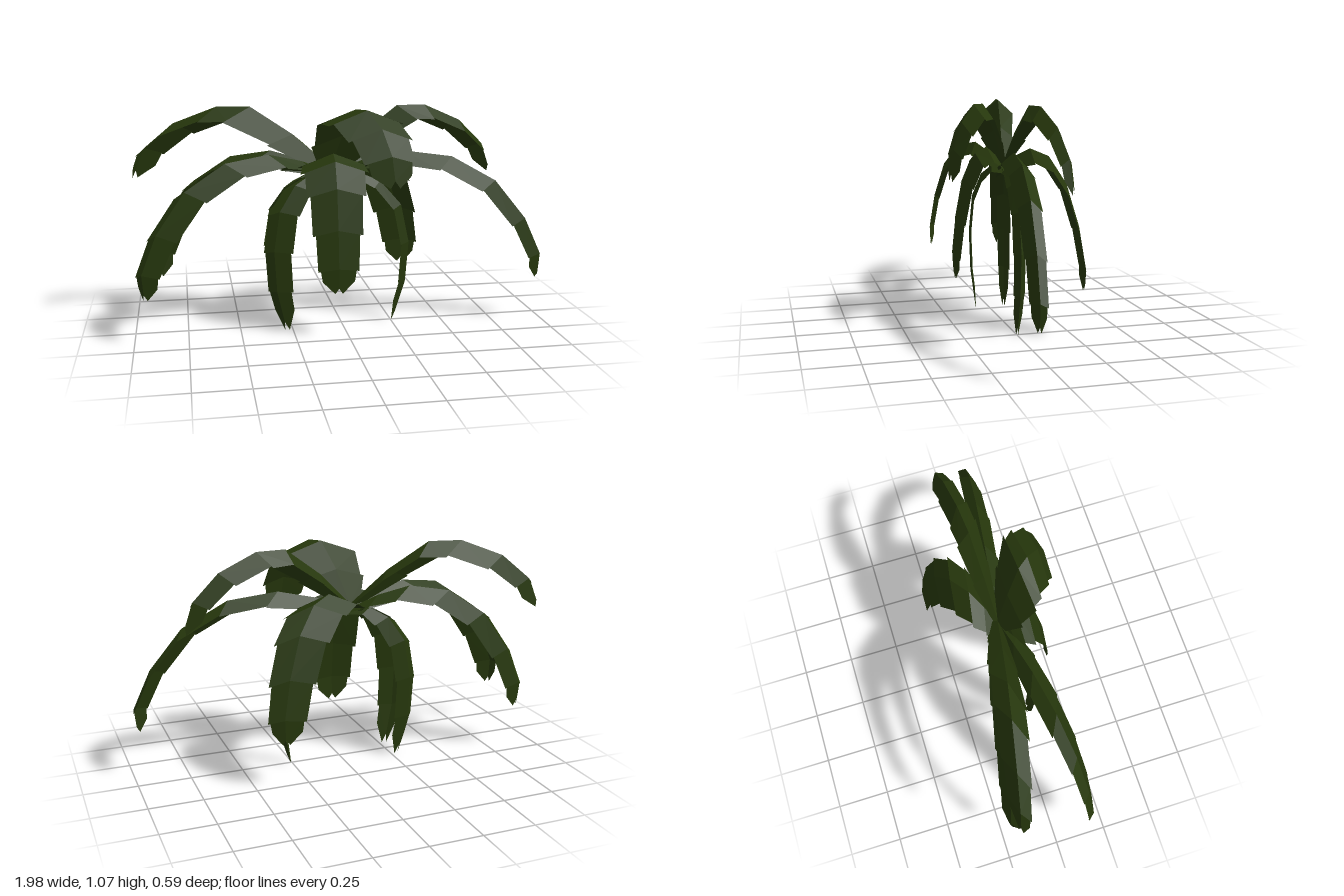
import * as THREE from 'three';

const DEPTH = 0.31;                                    // the crown is flattened front to back
const BASE = new THREE.Vector3(-0.05, 0, -0.015);
const UP = new THREE.Vector3(0, 1, 0);

// Each tier: arch of the ridge as [share of reach, height], half widths at the joints, and tips [x, z]
const TIERS = [
  {
    name: 'upperFrond',
    arch: [[0, 0.78], [0.19, 0.94], [0.4, 1.07], [0.57, 1.07], [0.79, 0.99], [0.94, 0.87], [1, 0.73]],
    widths: [0.06, 0.155, 0.185, 0.17, 0.145, 0.115],
    tips: [[-0.985, -0.2], [0.775, -0.09], [0.2, 0.3]],
  },
  {
    name: 'middleFrond',
    arch: [[0, 0.76], [0.16, 0.82], [0.34, 0.86], [0.57, 0.83], [0.78, 0.71], [0.93, 0.52], [1.01, 0.34], [1, 0.22]],
    widths: [0.06, 0.13, 0.155, 0.15, 0.13, 0.11, 0.09],
    tips: [[0.97, 0.115], [-0.05, 0.23], [-0.945, 0.178], [-0.88, -0.208], [0.37, -0.288]],
  },
  {
    name: 'lowerFrond',
    arch: [[0, 0.74], [0.4, 0.76], [0.78, 0.71], [1.12, 0.59], [1.25, 0.4], [1.2, 0.2], [1, 0]],
    widths: [0.03, 0.07, 0.09, 0.09, 0.082, 0.07],
    tips: [[0.26, 0], [-0.28, 0.07], [-0.28, -0.08]],
  },
];

// A folded leaf: a ridge with two sloping rows of panels, stepped along the rim and notched at the tip
function frondGeometry({ arch, widths }, [tipX, tipZ]) {
  const out = new THREE.Vector3(tipX - BASE.x, 0, (tipZ - BASE.z) / DEPTH);
  const reach = out.length();
  out.normalize();
  const side = out.clone().cross(UP);
  const ridge = arch.map(([u, y]) => out.clone().multiplyScalar(u * reach).setY(y));
  const normals = ridge.map((p, i) => {
    const along = ridge[Math.min(i + 1, ridge.length - 1)].clone().sub(ridge[Math.max(i - 1, 0)]);
    return side.clone().cross(along).normalize();
  });
  const positions = [];
  const face = (s, ...corners) => {
    if (s < 0) corners.reverse();
    for (let k = 1; k < corners.length - 1; k++) {
      for (const p of [corners[0], corners[k], corners[k + 1]]) {
        positions.push(BASE.x + p.x, p.y, BASE.z + p.z * DEPTH);
      }
    }
  };
  // point on panel i: t along the ridge, w sideways, sloping down towards the rim
  const at = (i, t, s, w) => {
    const p = ridge[i].clone().lerp(ridge[i + 1], t);
    const n = normals[i].clone().lerp(normals[i + 1], t);
    return p.addScaledVector(side, s * w).addScaledVector(n, -0.38 * w);
  };
  const last = widths.length - 1;
  for (const s of [1, -1]) {
    for (let i = 0; i < last; i++) {
      // rim flares towards the tip, overlapping the next panel a little
      face(s, at(i, 0, s, 0), at(i, 0, s, widths[i] * 0.95),
        at(i, 1.04, s, widths[i + 1] * 1.08), at(i, 1, s, 0));
    }
    // pointed half of the split tip, which meets its twin almost at the end
    const w = widths[last];
    face(s, at(last, 0, s, 0), at(last, 0, s, w * 0.95), at(last, 0.5, s, w * 0.85),
      at(last, 1, s, w * 0.2), at(last, 0.78, s, 0));
  }
  const geometry = new THREE.BufferGeometry();
  geometry.setAttribute('position', new THREE.Float32BufferAttribute(positions, 3));
  geometry.computeVertexNormals();
  return geometry;
}

export function createModel() {
  const model = new THREE.Group();
  model.name = 'palmCrown';
  const green = new THREE.MeshStandardMaterial({ color: 0x26370c, flatShading: true, side: THREE.DoubleSide });

  for (const tier of TIERS) {
    tier.tips.forEach((tip, i) => {
      const frond = new THREE.Mesh(frondGeometry(tier, tip), green);
      frond.name = `${tier.name}${i + 1}`;
      model.add(frond);
    });
  }
  return model;
}
